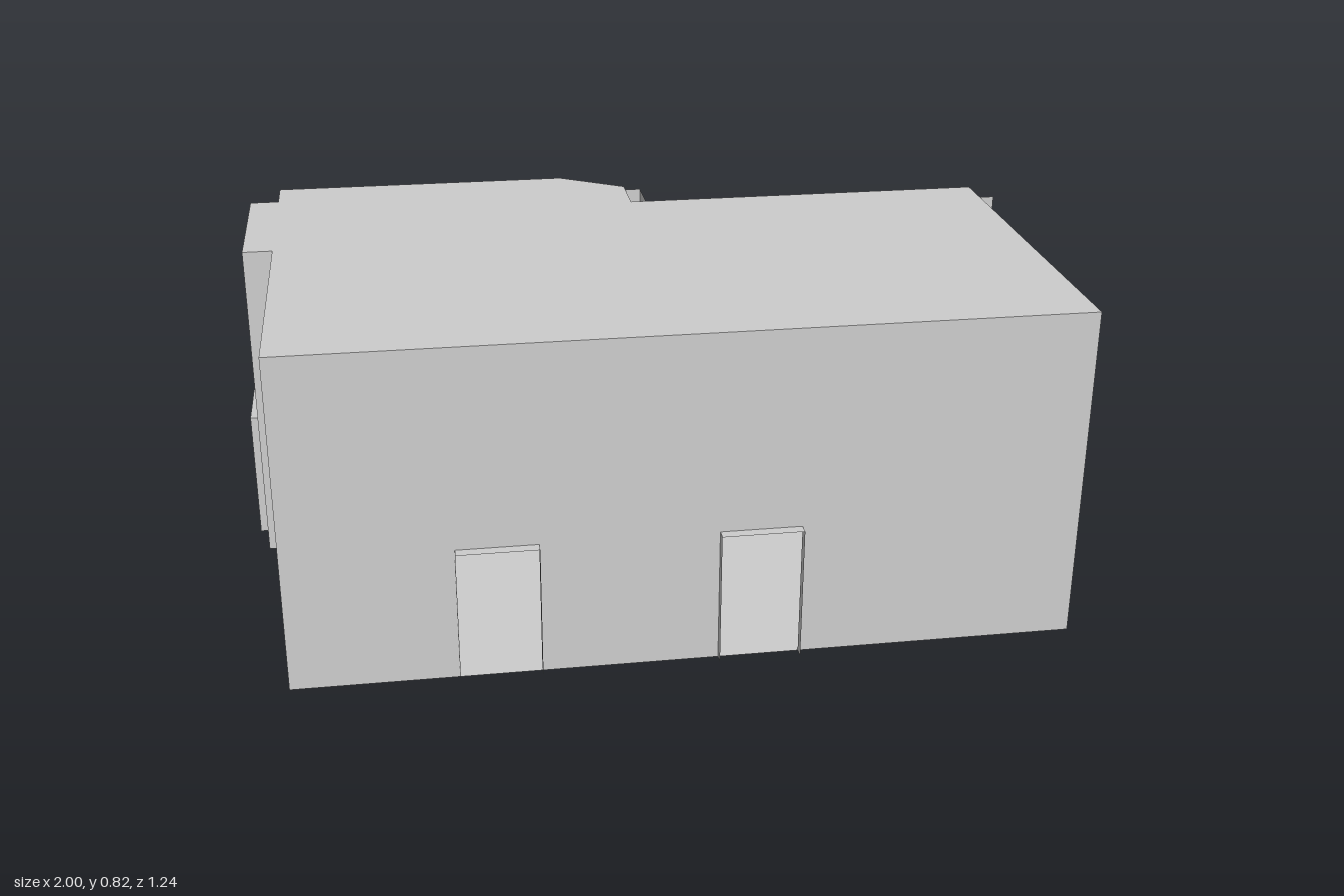
import * as THREE from 'three';

const H = 0.825; // wall height

export function createModel() {
  const model = new THREE.Group();
  model.name = 'building';
  const plaster = new THREE.MeshStandardMaterial({ color: 0xcccccc, side: THREE.DoubleSide });
  plaster.name = 'plainGrey';

  const shapeOf = (pts) => new THREE.Shape(pts.map(([x, y]) => new THREE.Vector2(x, y)));
  function add(name, geometry) {
    const mesh = new THREE.Mesh(geometry, plaster);
    mesh.name = name;
    model.add(mesh);
    return mesh;
  }

  // Upright panel from plan point a towards b; outline is (distance, height)
  function upright(name, a, b, outline) {
    const mesh = add(name, new THREE.ShapeGeometry(shapeOf(outline)));
    mesh.position.set(a[0], 0, a[1]);
    mesh.rotation.y = Math.atan2(a[1] - b[1], b[0] - a[0]);
  }

  // Wall with door openings [start, end, height] notched from the ground
  function wall(name, a, b, doors = [], h = H) {
    const length = Math.hypot(b[0] - a[0], b[1] - a[1]);
    const outline = [[0, 0]];
    for (const [s, e, top] of doors) outline.push([s, 0], [s, top], [e, top], [e, 0]);
    outline.push([length, 0], [length, h], [0, h]);
    upright(name, a, b, outline);
  }

  // Horizontal panel from plan points (x, z)
  function slab(name, plan, y, up = true) {
    const g = new THREE.ShapeGeometry(shapeOf(plan.map(([x, z]) => [x, up ? -z : z])));
    g.rotateX(up ? -Math.PI / 2 : Math.PI / 2);
    g.translate(0, y, 0);
    add(name, g);
  }

  // Open hood around a doorway: two cheeks and a flat top, from a to b, pushed out by d
  function hood(name, a, b, d, h) {
    const c = [b[0] + d[0], b[1] + d[1]];
    const e = [a[0] + d[0], a[1] + d[1]];
    wall(name + 'CheekA', a, e, [], h);
    wall(name + 'CheekB', c, b, [], h);
    slab(name + 'Top', [a, e, c, b], h);
  }

  // Outer walls, counter-clockwise from the front
  wall('frontWall', [-0.9, 0.59], [0.963, 0.59], [[0.392, 0.583, 0.333], [1.0, 1.193, 0.333]]);
  upright('leftWall', [0.963, 0.59], [0.963, -0.44],
    [[0, 0], [1.033, 0], [0.965, 0.41], [0.965, H], [0, H]]);
  wall('recessedBackWall', [1, -0.28], [0.07, -0.28], [[0.11, 0.863, 0.475]]);
  const corners = [
    [0.07, -0.28], [0.07, -0.485], [-0.135, -0.485], [-0.135, -0.62], [-0.9, -0.62],
    [-0.9, -0.51], [-0.973, -0.51], [-0.973, -0.105], [-0.9, -0.105], [-0.9, 0.59],
  ];
  const names = ['recessSideWall', 'stepBackWall', 'stepSideWall', 'backWall', 'rearSideWall',
    'bayBackWall', 'bayWall', 'bayFrontWall', 'rightWall'];
  names.forEach((name, i) => {
    wall(name, corners[i], corners[i + 1], name === 'bayWall' ? [[0.11, 0.3, 0.333]] : []);
  });

  // Door hoods and the large rear entrance
  hood('frontDoorA', [-0.508, 0.59], [-0.317, 0.59], [0, 0.027], 0.333);
  hood('frontDoorB', [0.1, 0.59], [0.293, 0.59], [0, 0.027], 0.333);
  hood('sideDoor', [-0.973, -0.4], [-0.973, -0.21], [-0.027, 0], 0.333);
  hood('rearEntrance', [0.89, -0.28], [0.137, -0.28], [0, -0.205], 0.475);

  // Roof and floor share a plan except along the recess
  const plan = (recessZ) => [
    [-0.9, 0.59], [0.963, 0.59], [0.963, recessZ], [0.03, recessZ], [0.03, -0.515],
    [-0.135, -0.62], [-0.9, -0.62], [-0.9, -0.51], [-0.973, -0.51], [-0.973, -0.105], [-0.9, -0.105],
  ];
  slab('roof', plan(-0.375), H);
  slab('floor', plan(-0.443), 0, false);

  return model;
}
